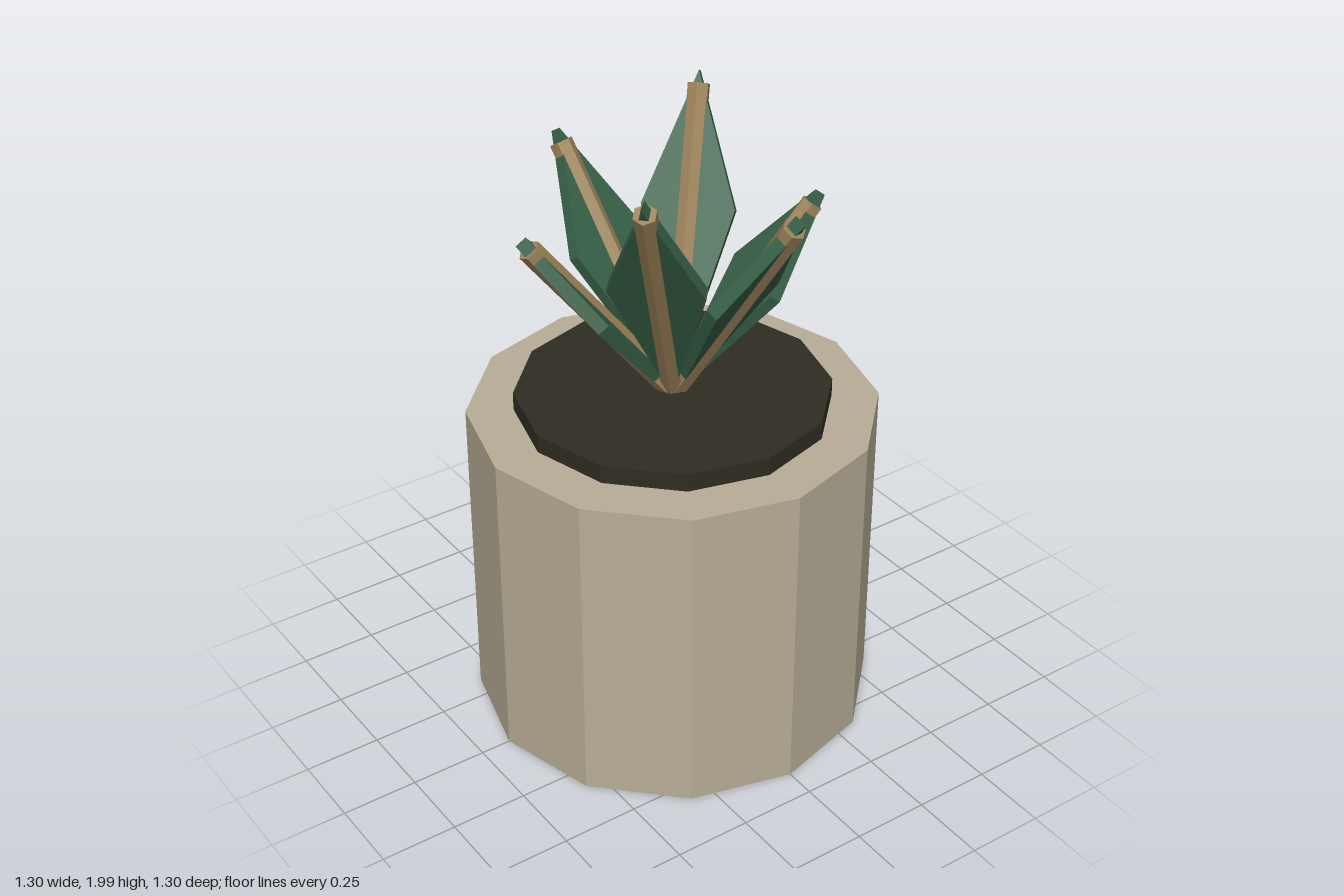
import * as THREE from 'three';

const mat = (name, color) => {
  const m = new THREE.MeshStandardMaterial({ color, flatShading: true });
  m.name = name;
  return m;
};

export function createModel() {
  const model = new THREE.Group();
  model.name = 'pottedPlant';
  const clay = mat('clay', 0xb8ad96);
  const earth = mat('earth', 0x2f2c22);
  const wood = mat('wood', 0x9c8259);
  const green = mat('leafGreen', 0x376148);

  const add = (parent, name, geometry, material) => {
    const mesh = new THREE.Mesh(geometry, material);
    mesh.name = name;
    parent.add(mesh);
    return mesh;
  };

  // Twelve-sided pot with a raised disc of soil
  const potHeight = 1.065;
  add(model, 'pot', new THREE.CylinderGeometry(0.65, 0.65, potHeight, 12), clay).position.y = potHeight / 2;
  add(model, 'soil', new THREE.CylinderGeometry(0.5, 0.5, 0.12, 12), earth).position.y = 1.065;

  // Thick diamond blade growing along +y, its flat side facing +x
  const leafGeometry = (length) => {
    const wide = length * 0.575, half = 0.148, thick = 0.04;
    const shape = new THREE.Shape([
      new THREE.Vector2(0, 0),
      new THREE.Vector2(half, wide),
      new THREE.Vector2(0, length),
      new THREE.Vector2(-half, wide),
    ]);
    const g = new THREE.ExtrudeGeometry(shape, { depth: thick, bevelEnabled: false });
    return g.translate(0, 0, -thick / 2).rotateY(Math.PI / 2);
  };

  // Three heights of leaf, each in an opposite pair, fanned around the centre
  const reach = 0.45, rootY = 1.11;
  const rises = [0.84, 0.575, 0.715];
  for (let i = 0; i < 6; i++) {
    const rise = rises[i % 3];
    const length = Math.hypot(reach, rise);
    const spoke = new THREE.Group();
    spoke.name = 'leafSpoke' + (i + 1);
    spoke.position.y = rootY;
    spoke.rotation.y = Math.PI / 4 - (i * Math.PI) / 3;
    const tilt = new THREE.Group();
    tilt.name = 'leafTilt' + (i + 1);
    tilt.rotation.z = -Math.atan2(reach, rise);
    spoke.add(tilt);
    add(tilt, 'leafBlade', leafGeometry(length + 0.04), green);
    const stem = new THREE.CylinderGeometry(0.037, 0.037, length, 6).rotateY(Math.PI / 6);
    add(tilt, 'leafStem', stem, wood).position.y = length / 2;
    model.add(spoke);
  }
  return model;
}
